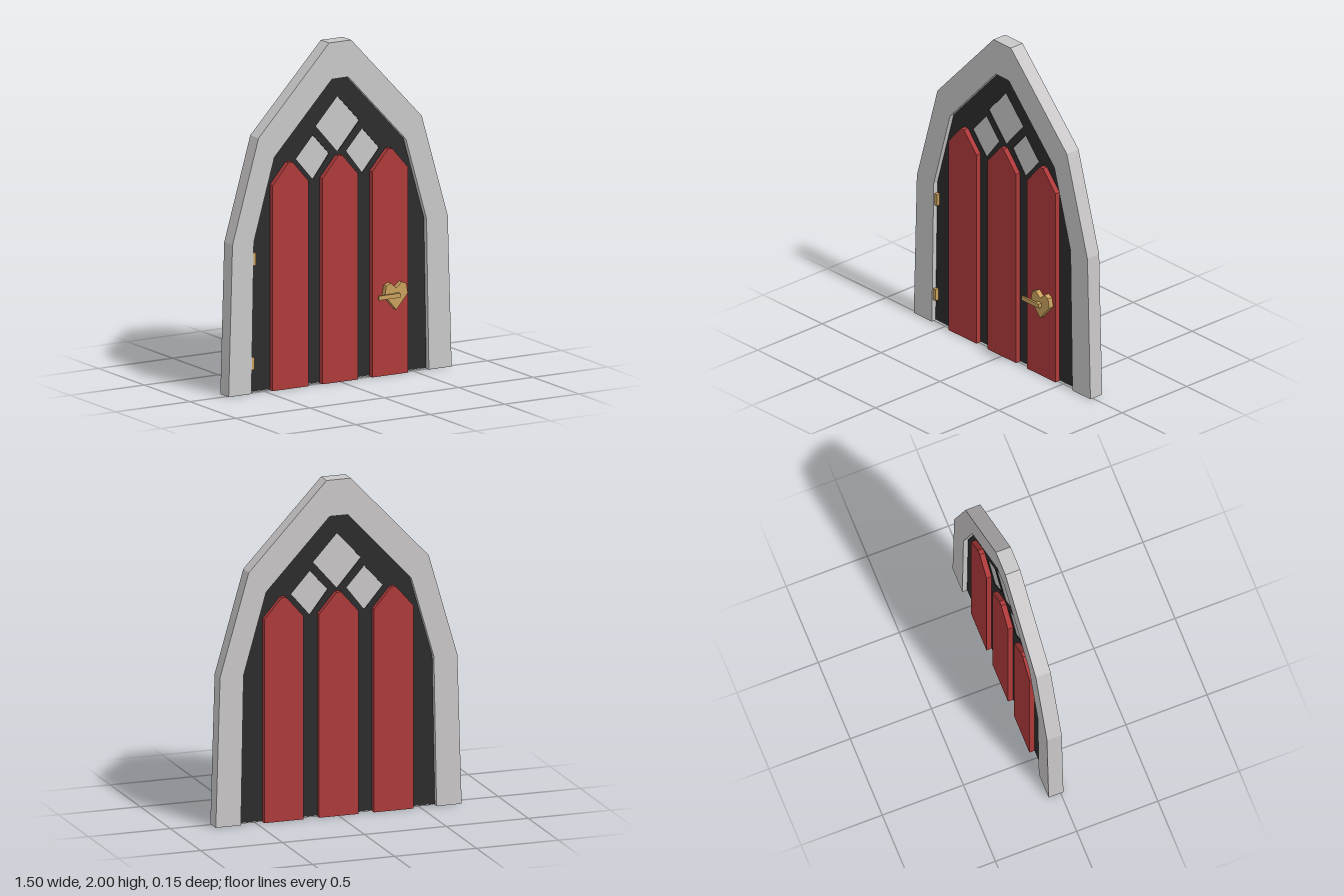
import * as THREE from 'three';

const mat = (name, color) => {
  const m = new THREE.MeshStandardMaterial({ color });
  m.name = name;
  return m;
};

const toShape = (pts) => new THREE.Shape(pts.map(([x, y]) => new THREE.Vector2(x, y)));

// Right half of an arch outline (bottom to top), mirrored into a closed loop
const mirrored = (half) => [...half, ...half.slice().reverse().map(([x, y]) => [-x, y])];

// Flat plate between two z depths, with optional holes
function plate(name, material, pts, z0, z1, holes = []) {
  const shape = toShape(pts);
  for (const h of holes) shape.holes.push(new THREE.Path(h.map(([x, y]) => new THREE.Vector2(x, y))));
  const geo = new THREE.ExtrudeGeometry(shape, { depth: z1 - z0, bevelEnabled: false, curveSegments: 1 });
  geo.translate(0, 0, z0);
  const mesh = new THREE.Mesh(geo, material);
  mesh.name = name;
  return mesh;
}

function box(name, material, [x0, x1], [y0, y1], [z0, z1]) {
  const mesh = new THREE.Mesh(new THREE.BoxGeometry(x1 - x0, y1 - y0, z1 - z0), material);
  mesh.position.set((x0 + x1) / 2, (y0 + y1) / 2, (z0 + z1) / 2);
  mesh.name = name;
  return mesh;
}

export function createModel() {
  const stone = mat('stone grey', 0xc9c7c8);
  const dark = mat('dark panel', 0x2c2c2c);
  const red = mat('red planks', 0xae3a3a);
  const brass = mat('brass', 0xc9a05c);
  const group = new THREE.Group();
  group.name = 'archedDoor';

  // Stone surround: pointed arch, open at the bottom
  const outer = [[0.75, 0], [0.724, 0.89], [0.549, 1.497], [0.074, 2]];
  const inner = [[0.597, 0], [0.581, 0.89], [0.443, 1.372], [0.055, 1.785]];
  const loop = [...mirrored(outer), ...mirrored(inner).reverse()];
  group.add(plate('frame', stone, loop, -0.074, 0.017));

  // Dark door panel with three diamond windows
  const topPane = [[0, 1.673], [0.146, 1.514], [0, 1.347], [-0.146, 1.514]];
  const sidePane = [[0.166, 1.464], [0.28, 1.337], [0.166, 1.204], [0.058, 1.344]];
  const otherPane = sidePane.map(([x, y]) => [-x, y]);
  const panes = [topPane, sidePane, otherPane];
  const panel = inner.map(([x, y], i) => [x + 0.004, i ? y + 0.002 : 0.006]);
  group.add(plate('doorPanel', dark, mirrored(panel), -0.045, -0.012, panes));

  // Pale core that shows through the windows and at the door's foot
  const core = inner.map(([x, y]) => [x - 0.01, y * 0.99]);
  group.add(plate('windowCore', stone, mirrored(core), -0.041, -0.016));

  // Three pointed planks, standing proud on both sides
  for (const cx of [-0.335, 0, 0.335]) {
    const pts = mirrored([[0.12, 0], [0.12, 1.208], [0.014, 1.33]]).map(([x, y]) => [x + cx, y]);
    group.add(plate('plank', red, pts, -0.076, 0.019));
  }

  // Hinges on the front
  group.add(box('upperHinge', brass, [-0.588, -0.562], [0.75, 0.824], [-0.014, 0.01]));
  group.add(box('lowerHinge', brass, [-0.6, -0.573], [0.139, 0.211], [-0.014, 0.01]));

  // Heart-shaped handle plate with stem and lever
  const handle = new THREE.Group();
  handle.name = 'handle';
  const heart = mirrored([[0, -0.09], [0.078, 0], [0.067, 0.057], [0.037, 0.07], [0, 0.037]])
    .map(([x, y]) => [x + 0.358, y + 0.477]);
  // drop the doubled points on the centre line
  const heartLoop = heart.filter((p, i) => i !== 5 && i !== heart.length - 1);
  handle.add(plate('heartPlate', brass, heartLoop, 0.015, 0.05));
  handle.add(box('stem', brass, [0.345, 0.37], [0.461, 0.487], [0.045, 0.07]));
  handle.add(box('lever', brass, [0.227, 0.37], [0.461, 0.487], [0.062, 0.074]));
  group.add(handle);

  return group;
}
